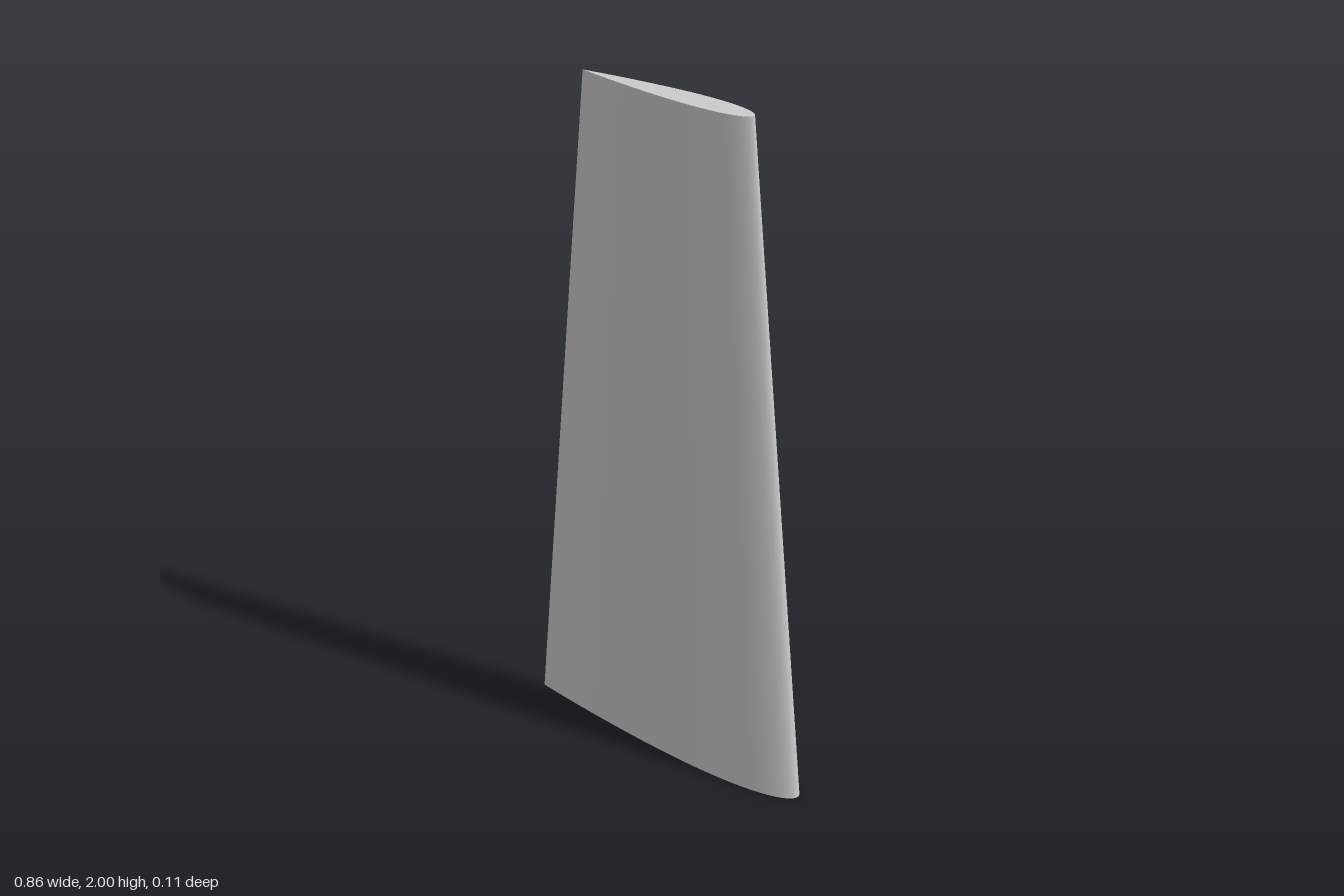
import * as THREE from 'three';

const SEGMENTS = 64; // around the aerofoil section
const THICKNESS = 0.132; // as a fraction of the chord
const ROOT = { y: 0, rear: -0.43, front: 0.43 };
const TIP = { y: 2, rear: -0.234, front: 0.23 };

// Symmetric four-digit aerofoil section, from the trailing edge round the nose and back
function section({ rear, front }) {
  const chord = front - rear;
  const points = [];
  for (let i = 0; i <= SEGMENTS; i++) {
    const a = (i / SEGMENTS) * Math.PI * 2;
    const t = (1 + Math.cos(a)) / 2; // 0 at the nose, 1 at the trailing edge
    const half = 5 * THICKNESS *
      (0.2969 * Math.sqrt(t) - 0.126 * t - 0.3516 * t ** 2 + 0.2843 * t ** 3 - 0.1036 * t ** 4);
    const side = i <= SEGMENTS / 2 ? 1 : -1;
    points.push(new THREE.Vector2(front - t * chord, side * Math.max(0, half) * chord));
  }
  return points;
}

// Smooth skin lofted from root to tip, left unjoined at the sharp trailing edge
function skinGeometry() {
  const positions = [], index = [];
  for (const end of [ROOT, TIP]) {
    for (const p of section(end)) positions.push(p.x, end.y, p.y);
  }
  const n = SEGMENTS + 1;
  for (let i = 0; i < SEGMENTS; i++) {
    index.push(i, i + 1, n + i + 1, i, n + i + 1, n + i);
  }
  const geometry = new THREE.BufferGeometry();
  geometry.setAttribute('position', new THREE.Float32BufferAttribute(positions, 3));
  geometry.setIndex(index);
  geometry.computeVertexNormals();
  return geometry;
}

// Flat end cap facing up (1) or down (-1)
function capGeometry(end, facing) {
  const shape = new THREE.Shape(section(end).slice(0, -1));
  return new THREE.ShapeGeometry(shape).rotateX(-facing * Math.PI / 2).translate(0, end.y, 0);
}

export function createModel() {
  const group = new THREE.Group();
  group.name = 'taperedWing';
  const material = new THREE.MeshStandardMaterial({ color: 0xcccccc });
  const add = (name, geometry) => {
    const mesh = new THREE.Mesh(geometry, material);
    mesh.name = name;
    group.add(mesh);
  };
  add('wingSkin', skinGeometry());
  add('rootCap', capGeometry(ROOT, -1));
  add('tipCap', capGeometry(TIP, 1));
  return group;
}
